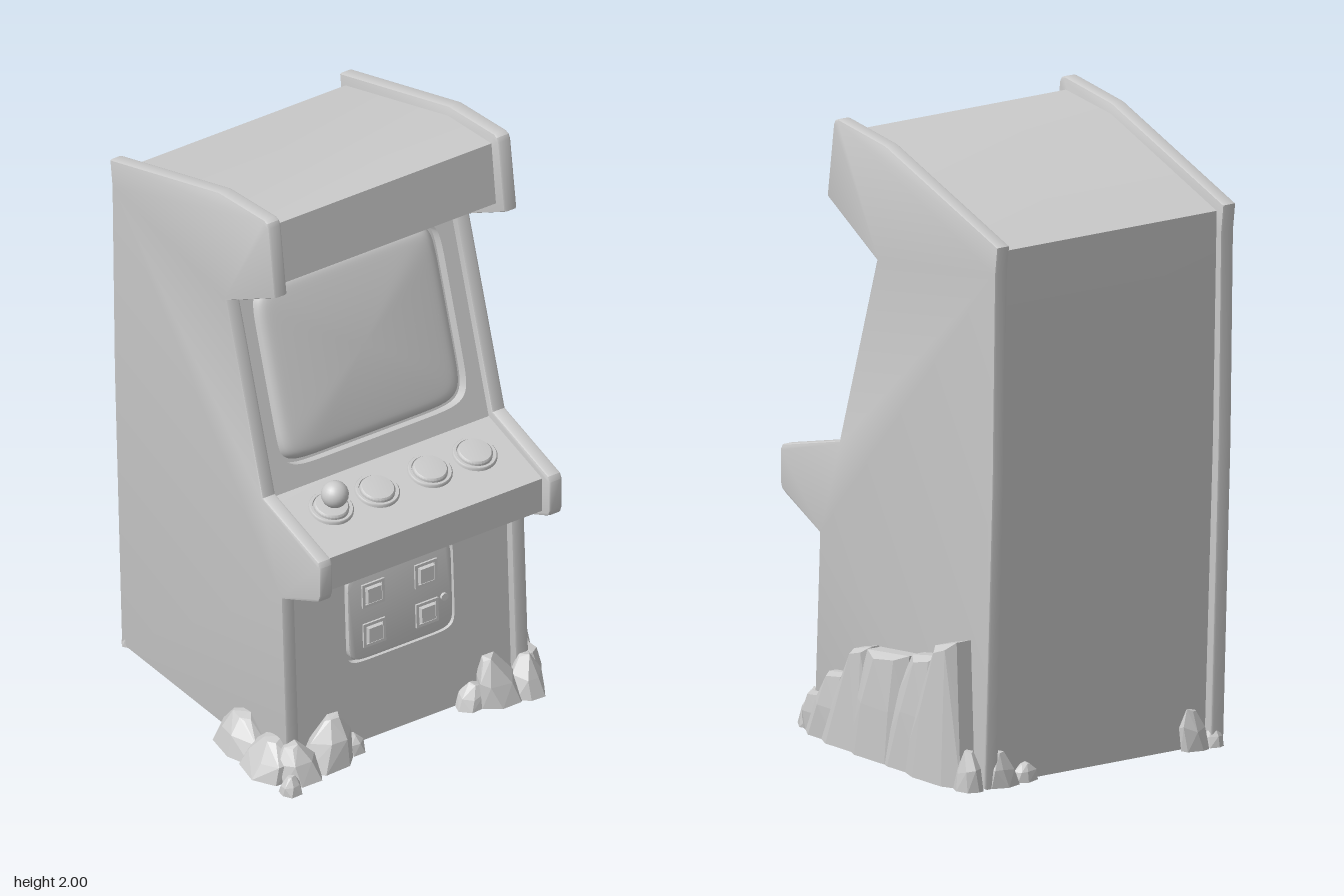
import * as THREE from 'three';
import { ConvexGeometry } from 'three/addons/geometries/ConvexGeometry.js';
import { ParametricGeometry } from 'three/addons/geometries/ParametricGeometry.js';
import { toCreasedNormals } from 'three/addons/utils/BufferGeometryUtils.js';

const grey = new THREE.MeshStandardMaterial({ color: 0xcccccc });
const stone = new THREE.MeshStandardMaterial({ color: 0xcccccc, flatShading: true });

function add(parent, name, geometry, x = 0, y = 0, z = 0, material = grey) {
  const mesh = new THREE.Mesh(geometry, material);
  mesh.name = name;
  mesh.position.set(x, y, z);
  parent.add(mesh);
  return mesh;
}

function frame(parent, name, x, y, z, tilt) {
  const g = new THREE.Group();
  g.name = name;
  g.position.set(x, y, z);
  g.rotation.x = tilt;
  parent.add(g);
  return g;
}

const polygon = pts => new THREE.Shape(pts.map(p => new THREE.Vector2(p[0], p[1])));

// Extrude a side profile of (z, y) points across x, centred on x = 0
function acrossX(pts, width, bevel = 0) {
  const g = new THREE.ExtrudeGeometry(polygon(pts), {
    depth: width - 2 * bevel, bevelEnabled: bevel > 0, bevelSize: bevel,
    bevelThickness: bevel, bevelOffset: -bevel, bevelSegments: 2,
  });
  g.translate(0, 0, -width / 2 + bevel);
  g.rotateY(-Math.PI / 2);
  return toCreasedNormals(g, 0.6);
}

// Rounded box outline with gently bowed sides
function outline(t, halfW, halfH, power) {
  const c = Math.cos(t), s = Math.sin(t);
  return [Math.sign(c) * Math.abs(c) ** (2 / power) * halfW,
    Math.sign(s) * Math.abs(s) ** (2 / power) * halfH];
}
function outlinePoints(halfW, halfH, power, n = 96) {
  return Array.from({ length: n }, (_, i) => outline(i / n * Math.PI * 2, halfW, halfH, power));
}

// Flat panel with a shaped opening; its front lies on z = 0
function panelWithHole(w, h, hole, holeY, thick) {
  const s = polygon([[-w / 2, -h / 2], [w / 2, -h / 2], [w / 2, h / 2], [-w / 2, h / 2]]);
  s.holes.push(polygon(hole.map(p => [p[0], p[1] + holeY])));
  const g = new THREE.ExtrudeGeometry(s, { depth: thick, bevelEnabled: false });
  g.translate(0, 0, -thick);
  return toCreasedNormals(g, 0.5);
}

function seeded(seed) {
  return () => {
    seed = (seed * 16807) % 2147483647;
    return seed / 2147483647;
  };
}

// Chipped rock: three shrinking jittered rings, the top one shifted by a lean
function rock(parent, name, x, z, w, d, h, leanX, leanZ, seed) {
  const rnd = seeded(seed * 7919 + 13);
  rnd();
  const pts = [];
  for (const [level, size] of [[0, 1], [0.5, 0.84], [0.92, 0.34]]) {
    for (let i = 0; i < 7; i++) {
      const a = (i + rnd() * 0.5) / 7 * Math.PI * 2, r = size * (0.85 + rnd() * 0.15);
      const y = level ? h * (level + (rnd() - 0.5) * 0.16) : 0;
      pts.push(new THREE.Vector3(Math.cos(a) * r * w / 2 + leanX * level, y,
        Math.sin(a) * r * d / 2 + leanZ * level));
    }
  }
  add(parent, name, new ConvexGeometry(pts), x, 0, z, stone);
}

// Leaning slab against the +x side, from bottom and top spans in z
function slab(parent, f0, b0, f1, b1, h, out, seed) {
  const rnd = seeded(seed * 4271 + 5);
  rnd();
  const pts = [];
  const p = (x, y, z) => pts.push(new THREE.Vector3(x, y, z));
  for (const t of [0, 0.5, 1]) {
    const f = f0 + (f1 - f0) * t, b = b0 + (b1 - b0) * t;
    const o = out - 0.012 * Math.abs(t - 0.4) - rnd() * 0.012, chip = 0.2 + rnd() * 0.15;
    const yf = t === 1 ? h * 0.94 : h * t, yb = h * t;
    p(0.43, yf, f);
    p(0.43, yb, b);
    p(o - 0.03, yf, f);
    p(o, yf * 0.97, f + (b - f) * chip);
    p(o - 0.008, yb * 0.95, b + (f - b) * 0.2);
    p(o - 0.04, yb, b);
  }
  add(parent, 'sideRock', new ConvexGeometry(pts), 0, 0, 0, stone);
}

export function createModel() {
  const model = new THREE.Group();
  model.name = 'arcadeCabinet';

  // Side panels
  const side = [[-0.515, 0], [0.4, 0], [0.37, 0.64], [0.55, 0.725], [0.572, 0.738], [0.58, 0.76],
    [0.58, 0.865], [0.57, 0.882], [0.265, 0.96], [0.065, 1.59], [0.33, 1.74], [0.296, 1.98],
    [0.288, 1.995], [0.27, 2], [0.02, 1.97], [-0.58, 1.77], [-0.568, 1.68], [-0.555, 1]];
  for (const s of [-1, 1]) add(model, 'sidePanel', acrossX(side, 0.05, 0.008), s * 0.436, 0, 0);

  // Recessed cabinet body, set back where the screen and door panels sit
  add(model, 'cabinetBody', acrossX([[-0.48, 0], [0.35, 0], [0.32, 0.69], [0.54, 0.74], [0.54, 0.86],
    [0.245, 0.935], [0.205, 0.935], [-0.027, 1.665], [0.013, 1.665], [0.285, 1.75], [0.26, 1.96],
    [0.02, 1.935], [-0.545, 1.745], [-0.525, 1]], 0.83));

  // Screen surround and bulging screen
  const wall = frame(model, 'screenWall', 0, 1.3, 0.129, -Math.atan2(0.232, 0.73));
  add(wall, 'screenSurround', panelWithHole(0.83, 0.766, outlinePoints(0.358, 0.312, 9), -0.005, 0.04));
  add(wall, 'screen', new ParametricGeometry((u, v, target) => {
    const r = 0.002 + u * 0.998;
    const [x, y] = outline(v * Math.PI * 2, 0.347, 0.301, 9);
    target.set(x * r, y * r, 0.024 * (1 - r * r) - 0.03 * r ** 30);
  }, 32, 96), 0, -0.005, 0);

  // Lower front panel and coin door
  const lower = frame(model, 'lowerFront', 0, 0.345, 0.355, -Math.atan2(0.03, 0.69));
  add(lower, 'lowerPanel', panelWithHole(0.83, 0.69, outlinePoints(0.206, 0.17, 9), 0.11, 0.025));
  const door = new THREE.ExtrudeGeometry(polygon(outlinePoints(0.192, 0.156, 9)), {
    depth: 0.025, bevelThickness: 0.005, bevelSize: 0.005, bevelSegments: 2,
  });
  door.translate(0, 0, -0.026);
  add(lower, 'coinDoor', toCreasedNormals(door, 0.5), 0, 0.11, 0);
  for (const x of [-0.103, 0.097]) {
    for (const y of [0.035, 0.178]) {
      for (const [dx, dy, w, h] of [[0, 0.037, 0.084, 0.01], [0, -0.037, 0.084, 0.01],
        [0.037, 0, 0.01, 0.064], [-0.037, 0, 0.01, 0.064]]) {
        add(lower, 'coinButtonFrame', new THREE.BoxGeometry(w, h, 0.012), x + dx, y + dy, 0.005);
      }
      const cap = new THREE.CylinderGeometry(0.036, 0.044, 0.02, 4, 1);
      cap.rotateY(Math.PI / 4).rotateX(Math.PI / 2);
      add(lower, 'coinButton', toCreasedNormals(cap, 0.3), x, y, 0.008);
    }
  }
  add(lower, 'doorLock', new THREE.CylinderGeometry(0.013, 0.013, 0.014, 16).rotateX(Math.PI / 2),
    0.163, 0.07, 0.006);

  // Control buttons on the sloping deck
  const deck = frame(model, 'controlDeck', 0, 0.905, 0.365, Math.atan2(0.075, 0.295));
  const collar = [[0.072, -0.005], [0.072, 0.006], [0.068, 0.011], [0.06, 0.011], [0.058, 0.004]];
  const cap = [[0.056, 0.003], [0.056, 0.015], [0.051, 0.021], [0.03, 0.023], [0, 0.023]];
  const lathe = pts => toCreasedNormals(
    new THREE.LatheGeometry(pts.map(p => new THREE.Vector2(...p)), 32), 0.7);
  for (const x of [-0.27, -0.095, 0.105, 0.275]) {
    add(deck, 'buttonCollar', lathe(collar), x, 0, 0);
    add(deck, x < -0.2 ? 'joystickBase' : 'button', lathe(cap), x, 0, 0);
  }

  // Joystick
  const stickPath = new THREE.LineCurve3(new THREE.Vector3(-0.272, 0.91, 0.37),
    new THREE.Vector3(-0.285, 0.985, 0.405));
  add(model, 'joystickShaft', new THREE.TubeGeometry(stickPath, 1, 0.011, 12));
  add(model, 'joystickBall', new THREE.SphereGeometry(0.044, 24, 16), -0.285, 0.988, 0.408);

  // Tall rock bank leaning on the left side
  [[0.46, 0.28, 0.41, 0.31, 0.13, 0.505], [0.4, 0.16, 0.28, 0.17, 0.23, 0.53],
    [0.3, 0.02, 0.13, 0.05, 0.345, 0.545], [0.15, -0.14, 0.04, -0.17, 0.365, 0.56],
    [0.0, -0.34, -0.19, -0.33, 0.4, 0.555], [-0.15, -0.46, -0.34, -0.44, 0.47, 0.565],
  ].forEach((s, i) => slab(model, ...s, i + 1));

  // Low rocks around the base: x, z, width, depth, height, leanX, leanZ
  [[0.5, -0.48, 0.09, 0.11, 0.13, 0, 0], [-0.49, 0.19, 0.14, 0.25, 0.13, 0.01, -0.01],
    [-0.49, 0.34, 0.16, 0.24, 0.12, 0.02, 0], [-0.505, 0.485, 0.08, 0.08, 0.06, 0, 0],
    [-0.43, 0.43, 0.16, 0.14, 0.12, -0.02, -0.03], [-0.32, 0.41, 0.2, 0.14, 0.16, 0.04, -0.02],
    [-0.21, 0.39, 0.1, 0.1, 0.06, 0, 0], [0.24, 0.39, 0.12, 0.1, 0.08, 0.02, 0],
    [0.34, 0.41, 0.18, 0.14, 0.16, -0.03, -0.02], [0.43, 0.43, 0.14, 0.13, 0.13, 0.01, -0.03],
    [0.38, -0.5, 0.13, 0.08, 0.12, 0.02, 0], [0.29, -0.49, 0.1, 0.07, 0.06, 0, 0],
    [-0.36, -0.5, 0.12, 0.08, 0.14, 0.02, 0], [-0.43, -0.5, 0.08, 0.07, 0.07, 0, 0],
  ].forEach((r, i) => rock(model, 'baseRock', ...r, i + 1));

  return model;
}
